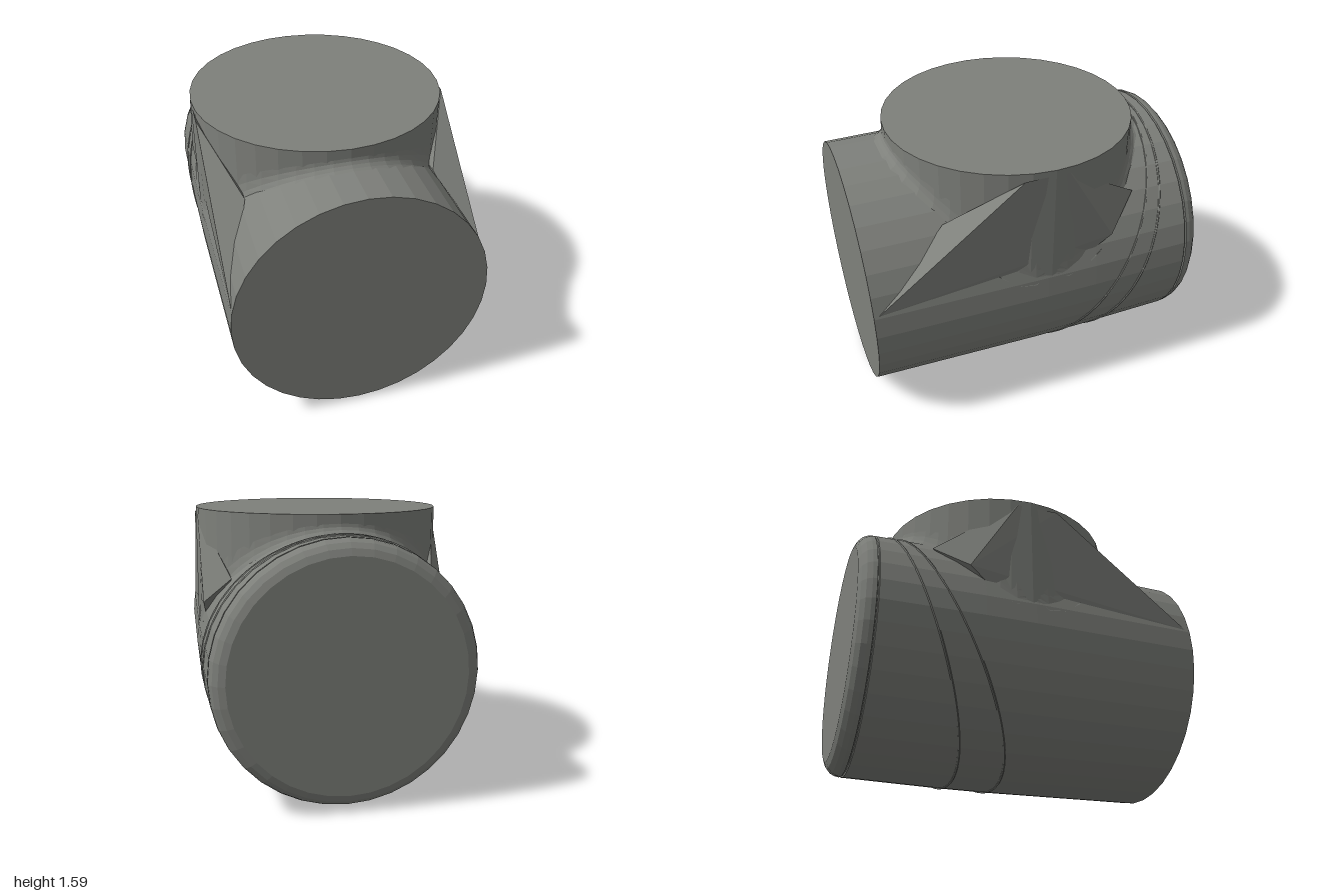
import * as THREE from 'three';
import { ConvexGeometry } from 'three/addons/geometries/ConvexGeometry.js';

const SIDES = 36;
const AXIS_Y = 0.748; // height of the main barrel axis
const NECK_R = 0.727, NECK_Z = -0.02, TOP = 1.585;

const material = new THREE.MeshStandardMaterial({ color: 0x7e807b, flatShading: true, side: THREE.DoubleSide });

function add(group, name, geometry) {
  const mesh = new THREE.Mesh(geometry, material);
  mesh.name = name;
  group.add(mesh);
  return mesh;
}

// Barrel radius along z: slightly swollen in the middle
function barrelRadius(z) {
  if (z > 0) return 0.745 - 0.017 * z;
  if (z > -0.3) return 0.745;
  return 0.745 - 0.01 * (-0.3 - z) / 0.6;
}

// Height of the barrel surface above a point of the floor plan
function barrelTop(x, z) {
  const r = barrelRadius(z);
  return AXIS_Y + Math.sqrt(Math.max(0, r * r - x * x));
}

// Horizontal barrel with a small groove before its rounded back end
function barrelGeometry() {
  const profile = [[0, -1], [0.65, -1], [0.688, -0.985], [0.716, -0.96], [0.73, -0.93], [0.734, -0.905],
    [0.724, -0.902], [0.724, -0.896], [0.735, -0.893], [0.745, -0.3], [0.745, 0], [0.728, 1], [0, 1]];
  const g = new THREE.LatheGeometry(profile.map(([r, z]) => new THREE.Vector2(r, z)), SIDES);
  g.rotateX(Math.PI / 2);
  g.translate(0, AXIS_Y, 0);
  return g;
}

// Concave fillet where the neck flows into the barrel
function filletGeometry() {
  const n = 48, rings = 5, pos = [], index = [];
  for (let i = 0; i <= n; i++) {
    const a = (i / n) * Math.PI * 2;
    const s = Math.sin(a), c = Math.cos(a);
    const flare = 0.075 * Math.min(1, 1.6 * Math.abs(c));
    const outerR = NECK_R + flare;
    const low = barrelTop(outerR * s, NECK_Z + outerR * c) - 0.004;
    const high = Math.min(TOP - 0.03, barrelTop(NECK_R * s, NECK_Z + NECK_R * c) + 0.05 + 0.12 * s * s);
    for (let j = 0; j <= rings; j++) {
      const t = (j / rings) * Math.PI / 2;
      const r = outerR - flare * Math.sin(t);
      pos.push(r * s, high - (high - low) * Math.cos(t), NECK_Z + r * c);
    }
  }
  const w = rings + 1;
  for (let i = 0; i < n; i++) for (let j = 0; j < rings; j++) {
    const p = i * w + j, q = p + w;
    index.push(p, q, p + 1, q, q + 1, p + 1);
  }
  const g = new THREE.BufferGeometry();
  g.setAttribute('position', new THREE.Float32BufferAttribute(pos, 3));
  g.setIndex(index);
  g.computeVertexNormals();
  return g;
}

// Slanted seam line wrapped round the barrel
function seamGeometry(zLow, zHigh) {
  const points = [];
  for (let i = 0; i < SIDES; i++) {
    const a = (i / SIDES) * Math.PI * 2;
    const t = (1 - Math.cos(a)) / 2;
    const z = zLow + (zHigh - zLow) * t - 0.2 * t * (1 - t);
    const r = barrelRadius(z) - 0.002;
    points.push(new THREE.Vector3(r * Math.sin(a), AXIS_Y - r * Math.cos(a), z));
  }
  return new THREE.TubeGeometry(new THREE.CatmullRomCurve3(points, true), 108, 0.007, 5, true);
}

// Flat cheek joining the neck's side to the barrel
function cheekGeometry(side) {
  const corners = [
    [0.714, 0.89, 0.97], [0.725, 1.55, 0.15], [0.722, 1.55, -0.1], [0.716, 1.07, -0.39],
    [0.54, 1.262, 0.55], [0.57, 1.232, -0.58], [0.66, 0.75, 0],
  ];
  return new ConvexGeometry(corners.map(([x, y, z]) => new THREE.Vector3(side * x, y, z)));
}

export function createModel() {
  const model = new THREE.Group();
  model.name = 'pipeElbow';

  add(model, 'barrel', barrelGeometry());

  // Upright neck, rooted inside the barrel
  const neck = add(model, 'neck', new THREE.CylinderGeometry(NECK_R, 0.732, TOP - AXIS_Y, SIDES));
  neck.position.set(0, (TOP + AXIS_Y) / 2, NECK_Z);

  add(model, 'neckFillet', filletGeometry());

  for (const side of [1, -1]) add(model, side > 0 ? 'leftCheek' : 'rightCheek', cheekGeometry(side));

  add(model, 'frontSeam', seamGeometry(-0.01, -0.79));
  add(model, 'backSeam', seamGeometry(-0.29, -0.83));

  return model;
}
